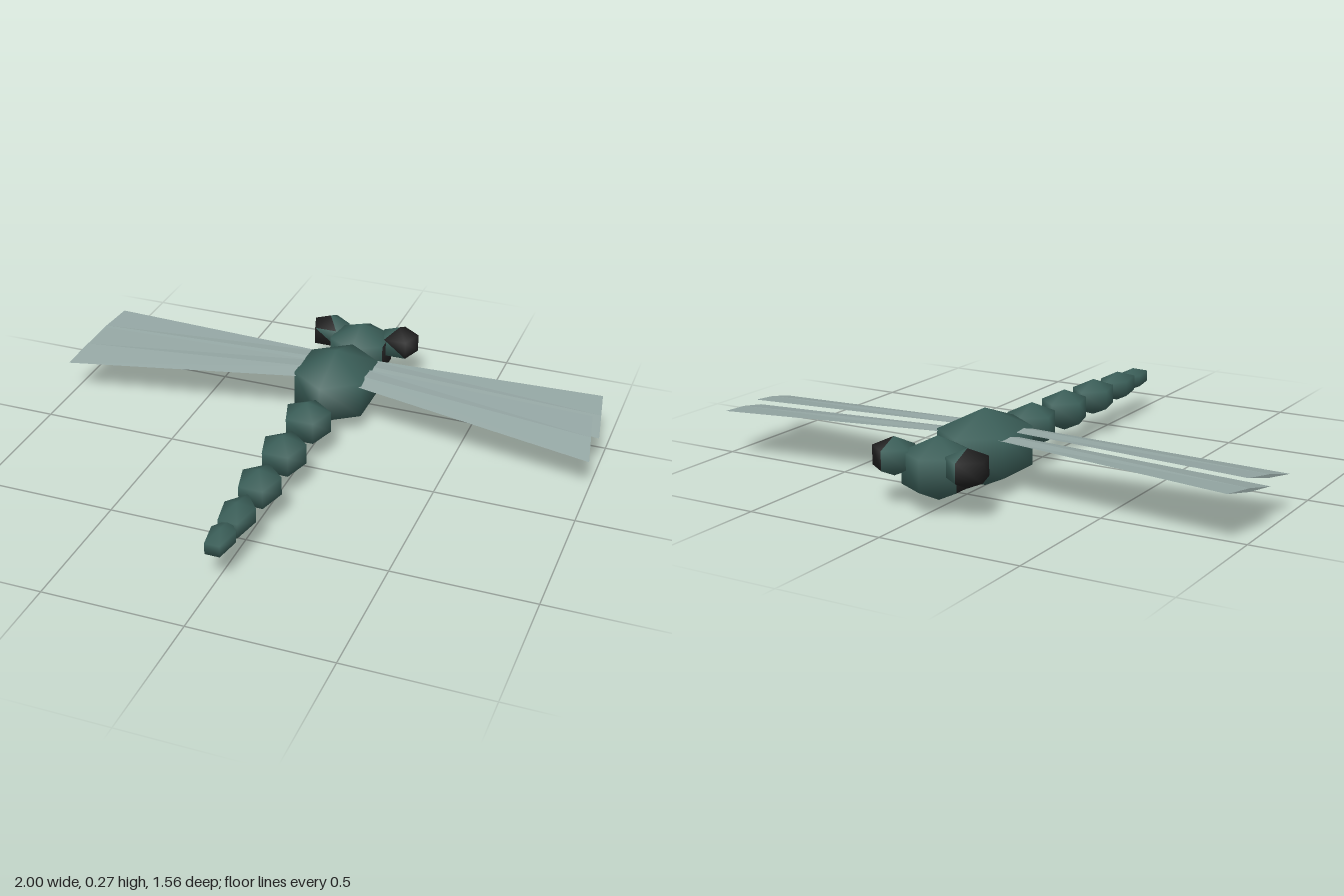
import * as THREE from 'three';

const teal = new THREE.MeshStandardMaterial({ color: 0x3b5f59 });
teal.name = 'body teal';
const black = new THREE.MeshStandardMaterial({ color: 0x1f1f1f });
black.name = 'eye black';
const grey = new THREE.MeshStandardMaterial({ color: 0x93a5a2, side: THREE.DoubleSide });
grey.name = 'wing grey';

const MID = 0.137; // height of the body axis

// Low-poly ball with one corner pointing to -z; rx, rz are its widest ring radii
function ball(sides, rx, ry, rz) {
  const k = 1 / Math.sin(Math.PI / 3);
  return new THREE.SphereGeometry(1, sides, 3).rotateY(-Math.PI / 2).scale(rx * k, ry, rz * k);
}

// One group per triangle; those whose centre passes the test get material 1
function paint(geo, test) {
  const p = geo.attributes.position, idx = geo.index;
  for (let i = 0; i < idx.count; i += 3) {
    const c = new THREE.Vector3(), v = new THREE.Vector3();
    for (let j = 0; j < 3; j++) c.add(v.fromBufferAttribute(p, idx.getX(i + j)));
    geo.addGroup(i, 3, test(c.divideScalar(3)) ? 1 : 0);
  }
  return geo;
}

function add(group, name, geo, material, x, y, z) {
  const mesh = new THREE.Mesh(geo, material);
  mesh.name = name;
  mesh.position.set(x, y, z);
  group.add(mesh);
}

// Thin wing: a diamond section at root and tip, from leading and trailing points
function wing(side, rootLead, rootTrail, tipLead, tipTrail) {
  const section = (a, b, t) => {
    const m = a.map((v, i) => (v + b[i]) / 2);
    return [a, [m[0], m[1] + t, m[2]], b, [m[0], m[1] - t, m[2]]];
  };
  const pts = [...section(rootLead, rootTrail, 0.008), ...section(tipLead, tipTrail, 0.006)];
  const index = [];
  const tri = (a, b, c) => (side > 0 ? index.push(a, b, c) : index.push(a, c, b));
  for (let i = 0; i < 4; i++) {
    const j = (i + 1) % 4;
    tri(i, j, j + 4);
    tri(i, j + 4, i + 4);
  }
  tri(0, 2, 1); tri(0, 3, 2);
  tri(4, 5, 6); tri(4, 6, 7);
  const geo = new THREE.BufferGeometry();
  const flat = pts.flatMap(([x, y, z]) => [x * side, y, z]);
  geo.setAttribute('position', new THREE.Float32BufferAttribute(flat, 3));
  geo.setIndex(index);
  const out = geo.toNonIndexed();
  out.computeVertexNormals();
  return out;
}

export function createModel() {
  const model = new THREE.Group();
  model.name = 'dragonfly';

  add(model, 'thorax', ball(6, 0.15, 0.135, 0.185), teal, 0, MID, -0.385);

  // Head with dark cheek faces
  const head = paint(ball(6, 0.121, 0.108, 0.113), (c) => Math.abs(c.x) > 0.1);
  add(model, 'head', head, [teal, black], 0, MID, -0.668);

  // Tail segments: z, width, height and length radii
  const tail = [
    [-0.074, 0.087, 0.080, 0.091],
    [0.159, 0.081, 0.075, 0.094],
    [0.379, 0.074, 0.067, 0.094],
    [0.572, 0.058, 0.055, 0.097],
    [0.706, 0.045, 0.041, 0.086],
  ];
  tail.forEach(([z, rx, ry, rz], i) =>
    add(model, `tailSegment${i + 1}`, ball(5, rx, ry, rz), teal, 0, MID + 0.003, z));

  for (const s of [1, -1]) {
    const label = s > 0 ? 'left' : 'right';

    // Eyes, body-coloured on the two inner facets
    const eye = paint(ball(5, 0.073, 0.066, 0.073), (c) => c.x * s < -0.01);
    add(model, `${label}Eye`, eye, [black, teal], s * 0.14, 0.168, -0.713);

    // Wings
    add(model, `${label}FrontWing`, wing(s,
      [0.08, 0.2, -0.485], [0.08, 0.19, -0.385],
      [0.96, 0.175, -0.57], [1, 0.14, -0.33]), grey, 0, 0, 0);
    add(model, `${label}RearWing`, wing(s,
      [0.08, 0.208, -0.398], [0.08, 0.195, -0.29],
      [0.957, 0.18, -0.406], [1, 0.137, -0.168]), grey, 0, 0, 0);
  }
  return model;
}
